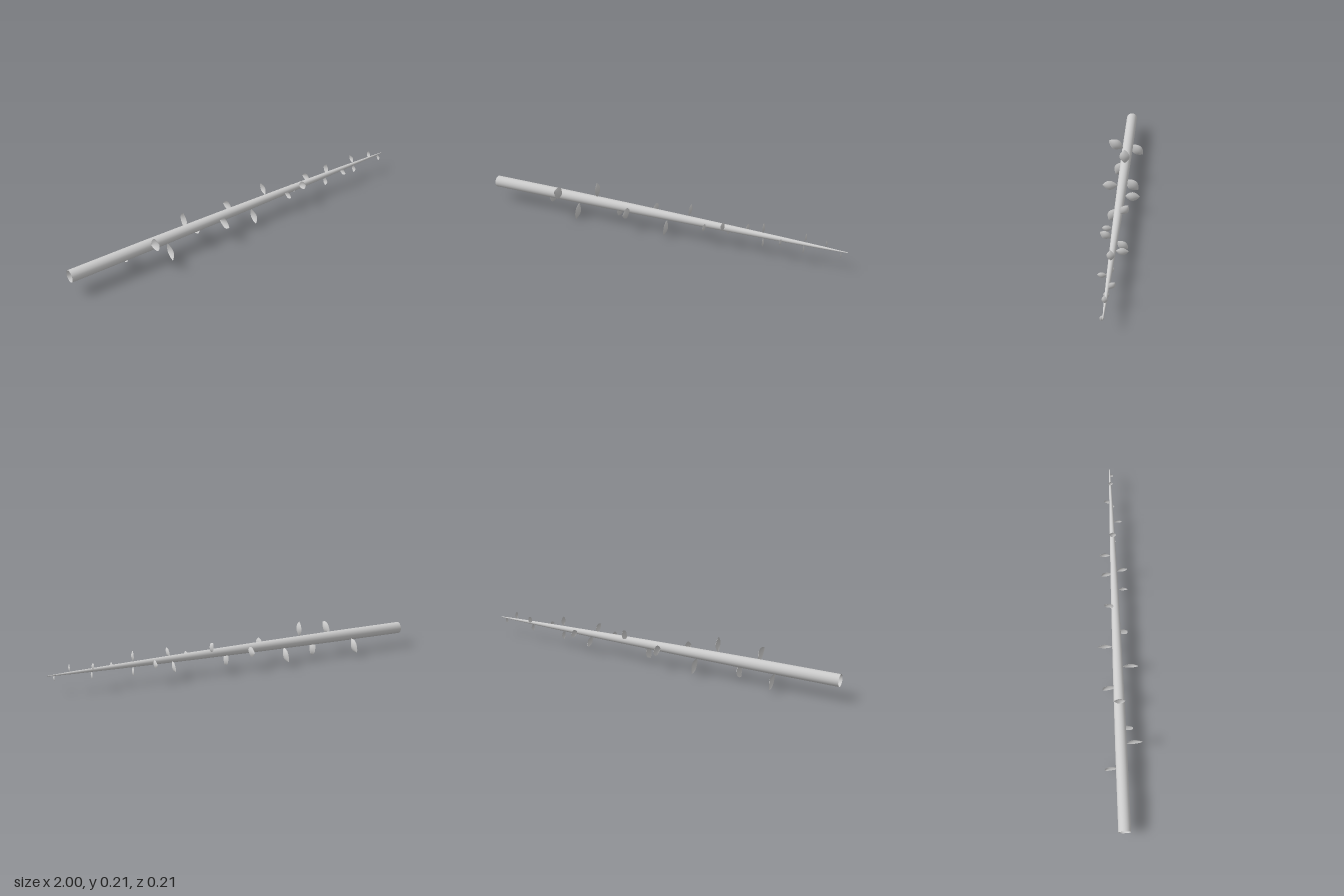
import * as THREE from 'three';

const CY = 0.105, CZ = -0.003; // stem axis

// stem profile: [x, radius]
const PROFILE = [[-1, 0.031], [-0.6, 0.03], [-0.16, 0.026], [0.27, 0.02], [0.67, 0.012], [0.9, 0.006], [0.995, 0.002], [1, 0]];

// leaves: [x along the stem, tip y, tip z]
const LEAVES = [
  [-0.68, 0.022, -0.087], [-0.57, 0.163, 0.103], [-0.47, 0.002, 0.054], [-0.365, 0.214, 0],
  [-0.26, 0.024, -0.084], [-0.16, 0.104, 0.104], [-0.05, 0.104, -0.104], [0.05, 0.014, 0.05],
  [0.16, 0.173, -0.057], [0.27, 0.104, 0.068], [0.37, 0.145, 0.067], [0.37, 0.055, -0.07],
  [0.47, 0.104, -0.079], [0.57, 0.174, 0], [0.57, 0.042, 0], [0.67, 0.104, 0.053],
  [0.78, 0.145, -0.039], [0.78, 0.055, 0.004], [0.89, 0.15, 0], [0.965, 0.073, 0.01],
];

function stemRadius(x) {
  for (let i = 1; i < PROFILE.length; i++) {
    const [x0, r0] = PROFILE[i - 1], [x1, r1] = PROFILE[i];
    if (x <= x1) return r0 + (r1 - r0) * (x - x0) / (x1 - x0);
  }
  return 0;
}

// unit-length pointed leaf growing along +y, bowed towards +z and cupped at the edges
function leafGeometry() {
  const geo = new THREE.PlaneGeometry(2, 1, 6, 10);
  const p = geo.attributes.position;
  for (let i = 0; i < p.count; i++) {
    const s = p.getX(i), t = p.getY(i) + 0.5;
    const w = 0.34 * Math.pow(Math.max(0, Math.sin(Math.PI * t)), 0.85);
    p.setXYZ(i, s * w, t, 0.13 * Math.sin(Math.PI * t) - 0.3 * w * s * s);
  }
  geo.computeVertexNormals();
  return geo;
}

export function createModel() {
  const group = new THREE.Group();
  group.name = 'leafyStem';
  const mat = new THREE.MeshStandardMaterial({ color: 0xcccccc, side: THREE.DoubleSide });

  // tapered hollow stem, open at its thick end
  const stem = new THREE.Mesh(
    new THREE.LatheGeometry(PROFILE.map(([x, r]) => new THREE.Vector2(r, x)), 20), mat);
  stem.name = 'stem';
  stem.rotation.z = -Math.PI / 2;
  stem.position.set(0, CY, CZ);
  group.add(stem);

  // leaves stand out square to the stem
  const geo = leafGeometry();
  const along = new THREE.Vector3(1, 0, 0);
  LEAVES.forEach(([x, y, z], i) => {
    const dir = new THREE.Vector3(0, y - CY, z - CZ);
    const reach = dir.length();
    dir.normalize();
    const base = stemRadius(x) * 0.95;
    const leaf = new THREE.Mesh(geo, mat);
    leaf.name = `leaf${i + 1}`;
    leaf.quaternion.setFromRotationMatrix(
      new THREE.Matrix4().makeBasis(dir.clone().cross(along), dir, along));
    leaf.scale.setScalar(reach - base);
    leaf.position.set(x, CY, CZ).addScaledVector(dir, base);
    group.add(leaf);
  });
  return group;
}
